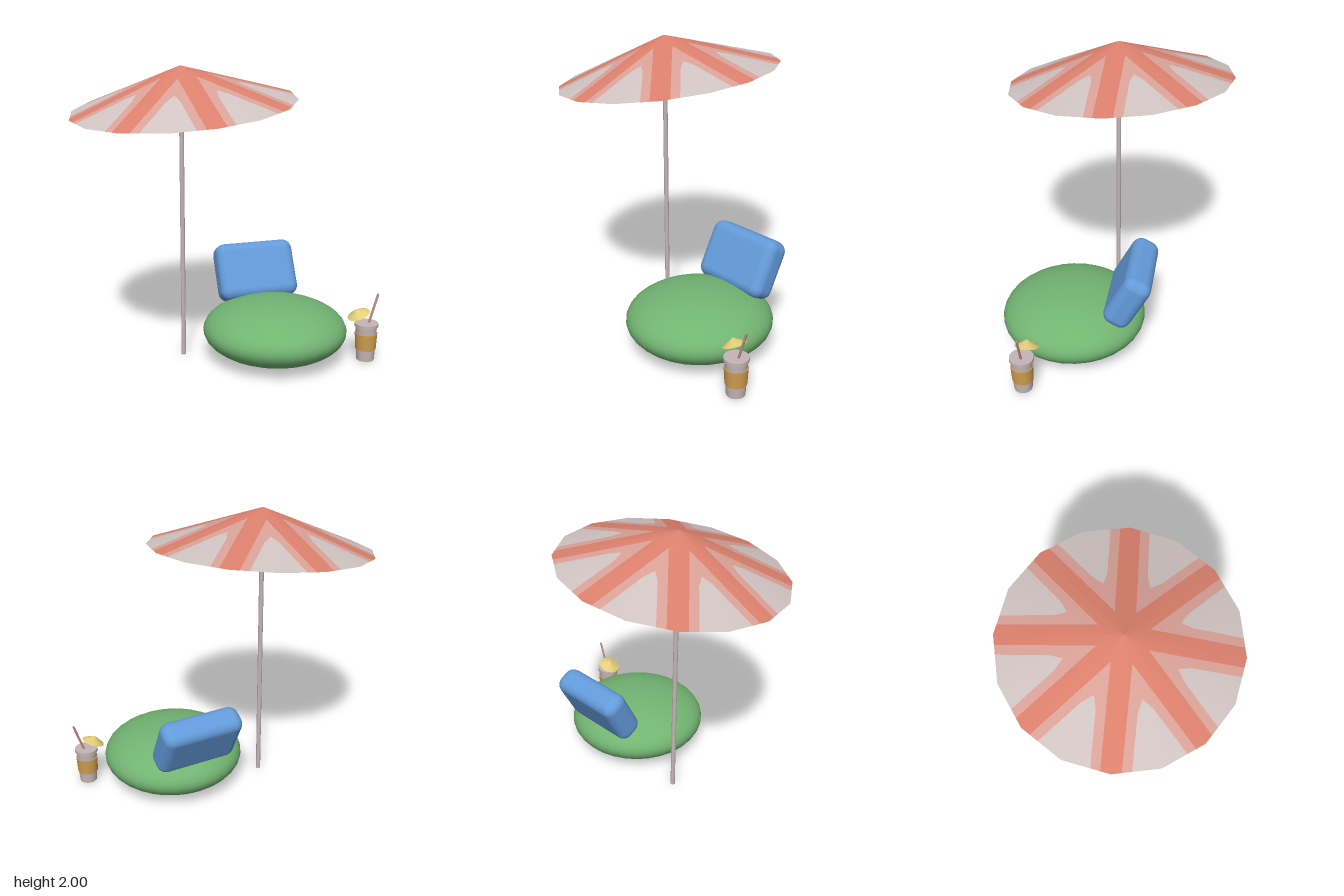
import * as THREE from 'three';
import { RoundedBoxGeometry } from 'three/addons/geometries/RoundedBoxGeometry.js';

const mat = (name, color, side = THREE.FrontSide) => {
  const m = new THREE.MeshStandardMaterial({ color, side });
  m.name = name;
  return m;
};

export function createModel() {
  const model = new THREE.Group();
  model.name = 'parasolLounge';

  const coral = mat('coral', 0xdb806c, THREE.DoubleSide);
  const salmon = mat('salmon', 0xd9a197, THREE.DoubleSide);
  const pale = mat('paleGrey', 0xd0c4c2, THREE.DoubleSide);
  const metal = mat('poleGrey', 0xc4b5b5);
  const green = mat('green', 0x72b472);
  const blue = mat('blue', 0x649bdb);
  const tan = mat('tan', 0xcf9f50);
  const yellow = mat('yellow', 0xe3cf78, THREE.DoubleSide);
  const strawPink = mat('strawPink', 0xc09088);

  const add = (name, geometry, material, x = 0, y = 0, z = 0, parent = model) => {
    const mesh = new THREE.Mesh(geometry, material);
    mesh.name = name;
    mesh.position.set(x, y, z);
    parent.add(mesh);
    return mesh;
  };

  // Canopy: a tilted 16-sided cone; each facet is cut into a stripe, a border and a wedge
  const R = 0.755, H = 0.262, half = Math.PI / 8;
  const cos = Math.cos(half), sin = Math.sin(half);
  const rim = v => [R - v * (1 - cos) / sin, v];
  const s = 0.062, b = 0.12;
  const inner = [s * cos / sin, s], tip = [0.36 * cos, 0.36 * sin], shoulder = [0.41, b];
  const pieces = [
    ['canopyStripes', coral, [[0, 0], [R, 0], rim(s), inner]],
    ['canopyBorders', salmon, [inner, rim(s), rim(b), shoulder, tip]],
    ['canopyWedges', pale, [tip, shoulder, rim(b), [R * cos, R * sin]]],
  ];
  const canopy = new THREE.Group();
  canopy.name = 'canopy';
  canopy.position.set(-0.245, 1.74, 0);
  canopy.quaternion.setFromUnitVectors(
    new THREE.Vector3(0, 1, 0), new THREE.Vector3(-0.1, 1, 0.08).normalize());
  model.add(canopy);
  for (const [name, material, outline] of pieces) {
    const pos = [], nor = [];
    const triangles = THREE.ShapeUtils.triangulateShape(outline.map(p => new THREE.Vector2(...p)), []);
    for (let i = 0; i < 8; i++) for (const side of [1, -1]) {
      const phi = i * Math.PI / 4;
      for (const tri of triangles) for (const k of side > 0 ? [...tri].reverse() : tri) {
        const [u, v] = outline[k];
        const x = u * Math.cos(phi) - side * v * Math.sin(phi);
        const z = u * Math.sin(phi) + side * v * Math.cos(phi);
        const d = u * Math.cos(half / 2) + v * Math.sin(half / 2);
        pos.push(x, H * (1 - d / (R * Math.cos(half / 2))), z);
        const a = u > 0 ? Math.atan2(z, x) : phi + side * half / 2;
        const n = new THREE.Vector3(H * Math.cos(a), R, H * Math.sin(a)).normalize();
        nor.push(n.x, n.y, n.z);
      }
    }
    const g = new THREE.BufferGeometry();
    g.setAttribute('position', new THREE.Float32BufferAttribute(pos, 3));
    g.setAttribute('normal', new THREE.Float32BufferAttribute(nor, 3));
    add(name, g, material, 0, 0, 0, canopy);
  }

  // Pole
  add('pole', new THREE.CylinderGeometry(0.016, 0.016, 1.97, 12), metal, -0.265, 0.99, 0.017);

  // Seat cushion: a flattened ball
  add('seatCushion', new THREE.SphereGeometry(1, 32, 24), green, 0.325, 0.21, 0.243)
    .scale.set(0.492, 0.207, 0.495);

  // Leaning back pillow
  add('backPillow', new RoundedBoxGeometry(0.578, 0.41, 0.195, 3, 0.07), blue, 0.323, 0.509, -0.158)
    .rotation.x = -0.48;

  // Drink: tapered cup, sleeve, lid and straw
  const drink = new THREE.Group();
  drink.name = 'drink';
  drink.position.set(0.905, 0, 0.478);
  model.add(drink);
  const ring = (name, top, bottom, y0, y1, m) =>
    add(name, new THREE.CylinderGeometry(top, bottom, y1 - y0, 16), m, 0, (y0 + y1) / 2, 0, drink);
  ring('cup', 0.073, 0.061, 0.008, 0.25, metal);
  ring('cupSleeve', 0.077, 0.07, 0.085, 0.2, tan);
  ring('cupLid', 0.081, 0.081, 0.247, 0.27, metal);
  const straw = new THREE.LineCurve3(new THREE.Vector3(-0.02, 0.15, 0), new THREE.Vector3(0.08, 0.465, 0));
  add('straw', new THREE.TubeGeometry(straw, 1, 0.008, 8), strawPink, 0, 0, 0, drink);
  add('strawEnd', new THREE.SphereGeometry(0.008, 8, 6), strawPink, 0.08, 0.463, 0, drink);

  // Small paper parasol beside the drink
  add('paperParasol', new THREE.ConeGeometry(0.08, 0.045, 16, 1, true), yellow, 0.85, 0.345, 0.45)
    .rotation.z = 0.39;

  return model;
}
